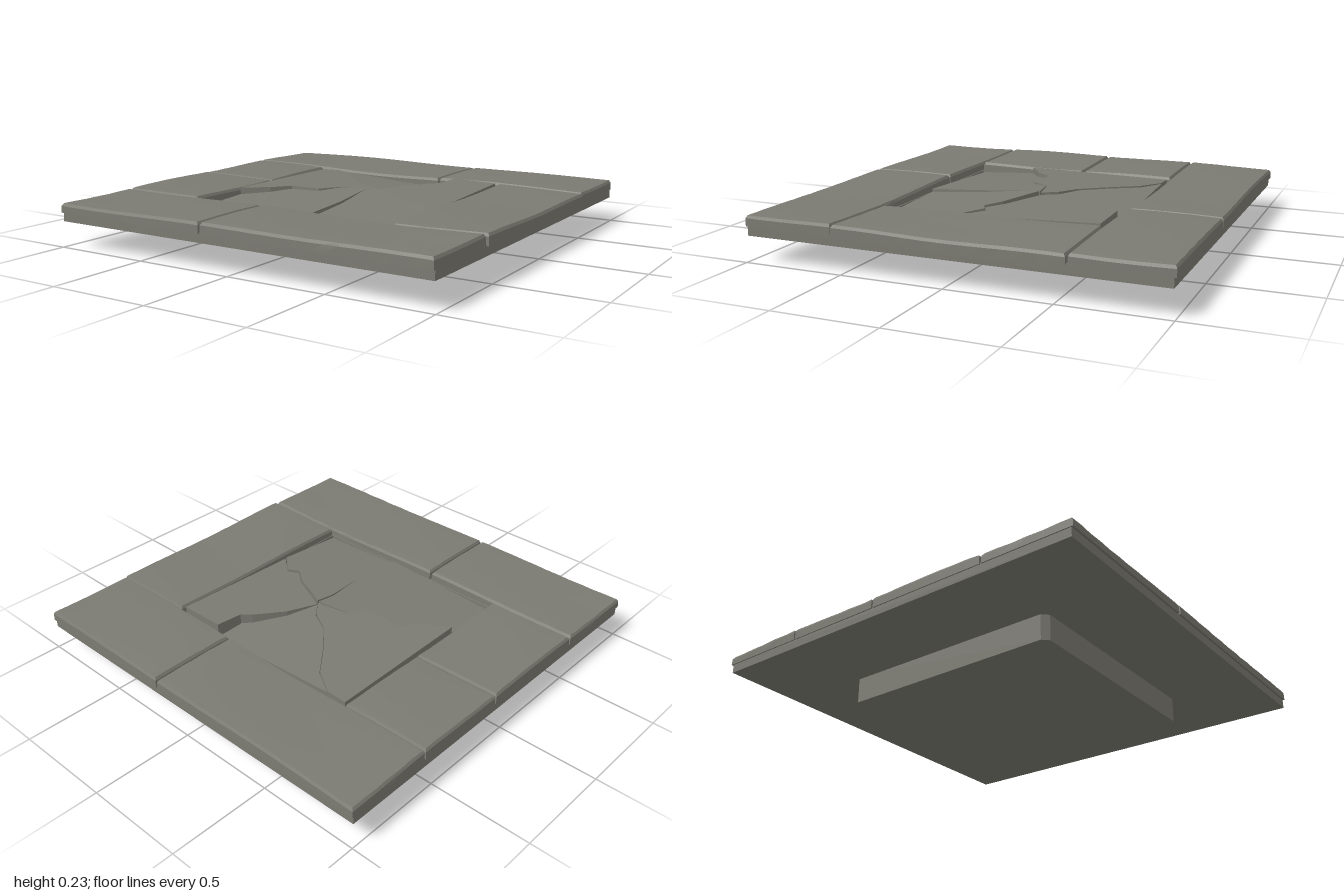
import * as THREE from 'three';
import { toCreasedNormals } from 'three/addons/utils/BufferGeometryUtils.js';

// gentle, repeatable undulation for worn stone
const wave = (x, z) => 0.004 * Math.sin(5.1 * x + 2.3 * z + 0.6) + 0.003 * Math.sin(7.3 * z - 3.7 * x + 1.9);
const chip = (x, z) => 0.004 * Math.abs(Math.sin(23 * x + 9) * Math.sin(19 * z + 4));

export function createModel() {
  const group = new THREE.Group();
  const stone = new THREE.MeshStandardMaterial({ color: 0x7b7a72 });
  stone.name = 'grey stone';
  const add = (name, geometry) => {
    const mesh = new THREE.Mesh(geometry, stone);
    mesh.name = name;
    group.add(mesh);
    return mesh;
  };
  const polygon = (points) => new THREE.Shape(points.map(([x, z]) => new THREE.Vector2(x, -z)));
  // vertical prism from an x/z outline
  const prism = (shape, y0, y1) => {
    const g = new THREE.ExtrudeGeometry(shape, { depth: y1 - y0, bevelEnabled: false });
    return g.rotateX(-Math.PI / 2).translate(0, y0, 0);
  };
  const rect = (x0, x1, z0, z1) => [[x0, z1], [x1, z1], [x1, z0], [x0, z0]];

  // square foot with clipped corners
  const f = 0.576, k = 0.546;
  add('foot', prism(polygon([[-f, k], [-k, f], [k, f], [f, k], [f, -k], [k, -f], [-k, -f], [-f, -k]]), 0, 0.145));

  // base slab with an opening for the broken centre
  const slab = polygon(rect(-0.995, 0.99, -0.99, 0.99));
  slab.holes.push(polygon(rect(-0.55, 0.545, -0.55, 0.545)));
  add('baseSlab', prism(slab, 0.125, 0.172));

  // paving stones: worn tops and bevelled rims
  const paver = (name, x0, x1, z0, z1, top) => {
    const w = x1 - x0, d = z1 - z0, cx = (x0 + x1) / 2, cz = (z0 + z1) / 2;
    const g = new THREE.BoxGeometry(w, 1, d, Math.round(w * 14), 2, Math.round(d * 14));
    const p = g.attributes.position;
    for (let i = 0; i < p.count; i++) {
      const lx = p.getX(i), lz = p.getZ(i), level = Math.round(p.getY(i) * 2) + 1;
      const x = lx + cx, z = lz + cz, worn = chip(x, z);
      const onX = Math.abs(lx) > w / 2 - 1e-4, onZ = Math.abs(lz) > d / 2 - 1e-4;
      const inset = level === 2 ? 0.007 + worn : level === 1 ? worn * 0.5 : 0;
      const y = level === 0 ? 0.168 : top + wave(x, z) - (level === 1 ? 0.016 : onX || onZ ? 0.003 : 0);
      p.setXYZ(i, x - (onX ? Math.sign(lx) * inset : 0), y, z - (onZ ? Math.sign(lz) * inset : 0));
    }
    add(name, toCreasedNormals(g, 0.45));
  };
  paver('backLongStone', -1, 0.188, -1, -0.557, 0.22);
  paver('backShortStone', 0.197, 0.99, -1, -0.557, 0.222);
  paver('frontShortStone', -1, -0.155, 0.551, 1, 0.219);
  paver('frontLongStone', -0.145, 0.99, 0.551, 1, 0.22);
  paver('rightBackStone', -1, -0.552, -0.549, -0.062, 0.219);
  paver('rightFrontStone', -1, -0.552, -0.053, 0.543, 0.221);
  paver('leftStone', 0.549, 1, -0.549, 0.543, 0.22);

  // cracks running from the impact point to the rim
  const hit = [0.08, -0.065], lo = -0.54, hi = 0.535;
  const cracks = [
    [[0.02, -0.14], [-0.09, -0.2], [-0.2, -0.32], [-0.31, -0.46], [-0.435, lo]],
    [[0.14, -0.22], [0.24, -0.36], [0.285, -0.4], [0.295, lo]],
    [[0.17, -0.02], [0.29, 0.035], [0.37, 0.1], [0.43, 0.07], [hi, 0.165]],
    [[0.07, 0.03], [0.097, 0.25], [0.095, hi]],
    [[-0.09, -0.03], [-0.16, 0.07], [-0.34, 0.06], [-0.41, 0.15], [lo, 0.235]],
  ];
  // each shard: rim corners, height at the impact point, slopes along x and z
  const shards = [
    ['backShard', [], 0.215, -0.06, 0.08],
    ['leftShard', [[hi, lo]], 0.215, -0.02, -0.04],
    ['frontLeftShard', [[hi, hi]], 0.235, -0.03, -0.09],
    ['frontRightShard', [[lo, hi]], 0.232, 0.05, -0.06],
    ['rightShard', [[lo, lo]], 0.226, 0.02, 0.01],
  ];
  shards.forEach(([name, corners, h, sx, sz], i) => {
    const next = cracks[(i + 1) % cracks.length];
    const outline = [hit, ...cracks[i], ...corners, ...[...next].reverse()];
    const g = prism(polygon(outline), 0, 1);
    g.computeBoundingBox();
    const c = g.boundingBox.getCenter(new THREE.Vector3());
    const p = g.attributes.position;
    for (let j = 0; j < p.count; j++) {
      const x = p.getX(j), z = p.getZ(j);
      const y = p.getY(j) > 0.5 ? h + sx * (x - hit[0]) + sz * (z - hit[1]) : 0.14;
      // shrink a little to open the cracks
      p.setXYZ(j, c.x + (x - c.x) * 0.985, y, c.z + (z - c.z) * 0.985);
    }
    g.computeVertexNormals();
    add(name, g);
  });
  return group;
}
